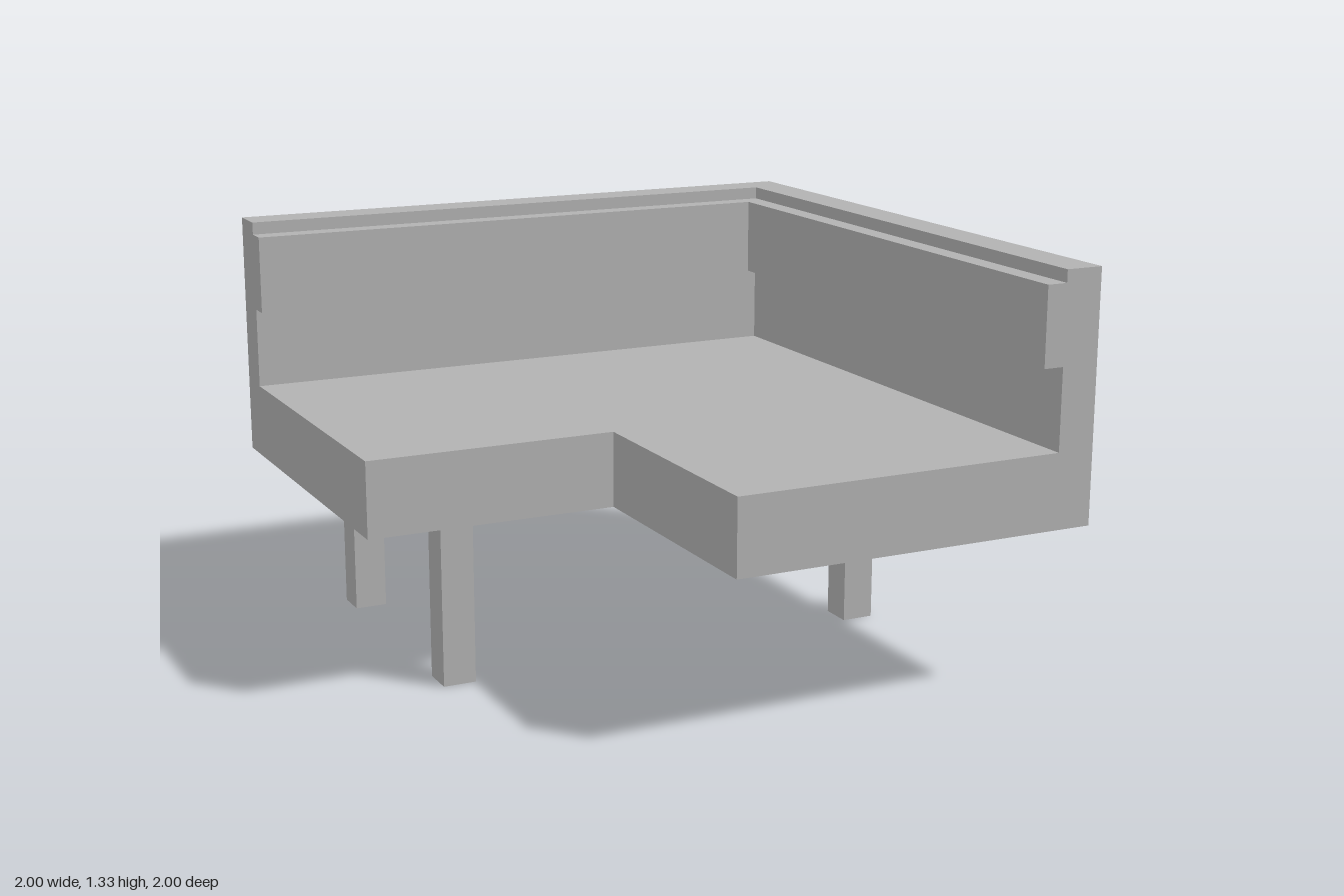
import * as THREE from 'three';

const upholstery = new THREE.MeshStandardMaterial({ color: 0xb2b2b2 });
upholstery.name = 'upholstery grey';

// Flat slab from a plan outline of [x, z] points, between two heights
function slab(name, plan, y0, y1) {
  const shape = new THREE.Shape(plan.map(([x, z]) => new THREE.Vector2(x, -z)));
  const geometry = new THREE.ExtrudeGeometry(shape, { depth: y1 - y0, bevelEnabled: false });
  geometry.rotateX(-Math.PI / 2).translate(0, y0, 0);
  const mesh = new THREE.Mesh(geometry, upholstery);
  mesh.name = name;
  return mesh;
}

// L-shaped band along the back and left sides, from outer to inner offset
function cornerBand(name, outer, inner, y0, y1) {
  return slab(name, [
    [-1, -outer], [outer, -outer], [outer, 1],
    [inner, 1], [inner, -inner], [-1, -inner],
  ], y0, y1);
}

export function createModel() {
  const sofa = new THREE.Group();
  sofa.name = 'cornerSofa';

  // L-shaped seat with a notch at the front right
  sofa.add(slab('seat', [
    [-1, -1], [1, -1], [1, 1], [-0.2, 1], [-0.2, 0.195], [-1, 0.195],
  ], 0.54, 0.78));

  // Tall backrest and the thin padding that overhangs the seat
  sofa.add(cornerBand('backrest', 1, 0.878, 0.78, 1.33));
  sofa.add(cornerBand('backPadding', 0.878, 0.812, 1.04, 1.29));

  // Four square legs
  const legGeometry = new THREE.BoxGeometry(0.106, 0.54, 0.106);
  for (const x of [-0.68, 0.757]) {
    for (const z of [-0.797, 0.037]) {
      const leg = new THREE.Mesh(legGeometry, upholstery);
      leg.name = 'leg';
      leg.position.set(x, 0.27, z);
      sofa.add(leg);
    }
  }
  return sofa;
}
